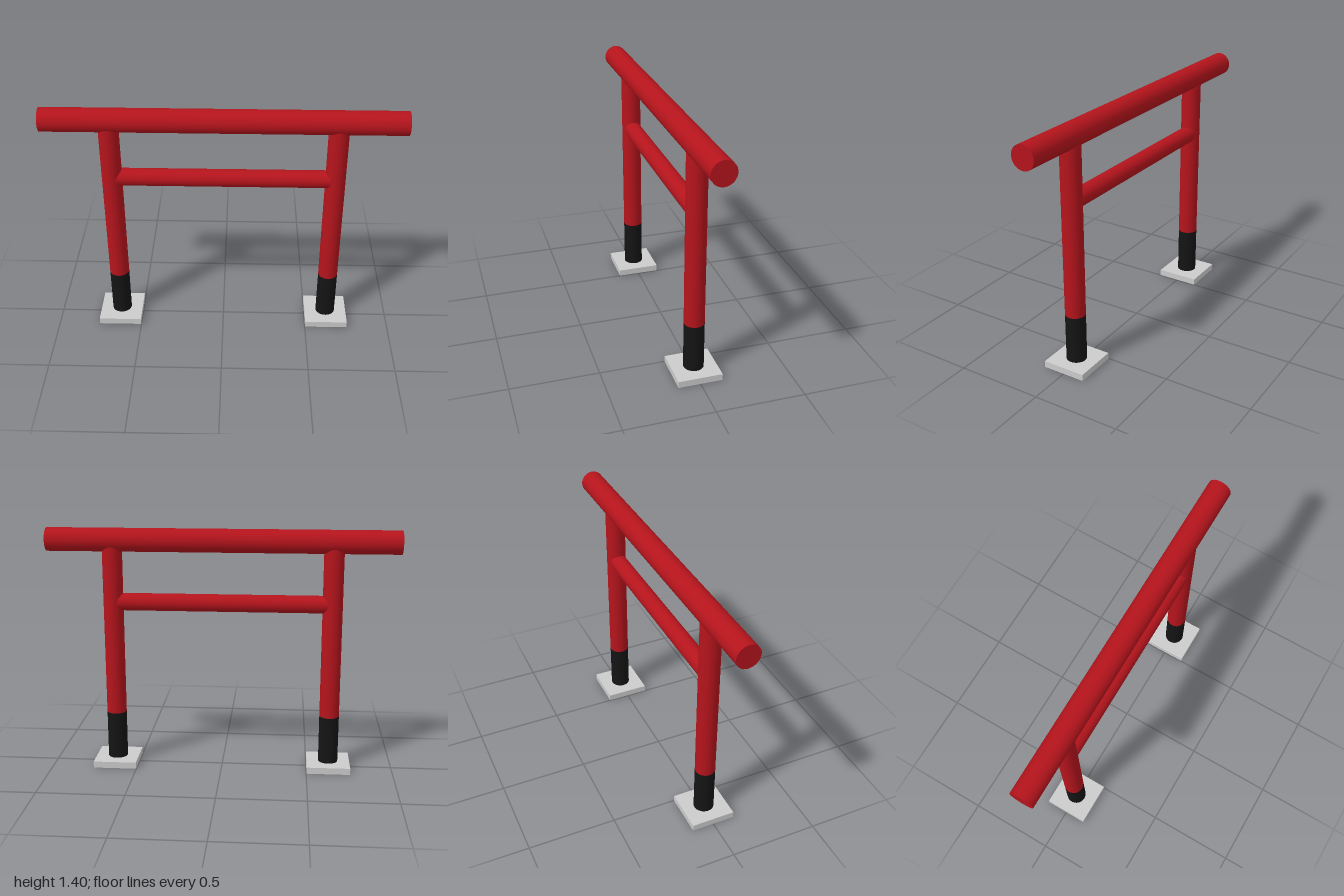
import * as THREE from 'three';

const red = new THREE.MeshStandardMaterial({ color: 0xb5141c });
const black = new THREE.MeshStandardMaterial({ color: 0x141414 });
const grey = new THREE.MeshStandardMaterial({ color: 0xcccccc });

function addMesh(parent, name, geometry, material, x, y) {
  const mesh = new THREE.Mesh(geometry, material);
  mesh.name = name;
  mesh.position.set(x, y, 0);
  parent.add(mesh);
  return mesh;
}

// Upright cylinder between two heights
function addPost(parent, name, radius, bottom, top, material) {
  const geometry = new THREE.CylinderGeometry(radius, radius, top - bottom, 32);
  addMesh(parent, name, geometry, material, 0, (bottom + top) / 2);
}

// Horizontal cylinder along x
function addBeam(parent, name, radius, length, y) {
  const geometry = new THREE.CylinderGeometry(radius, radius, length, 32);
  geometry.rotateZ(Math.PI / 2);
  addMesh(parent, name, geometry, red, 0, y);
}

export function createModel() {
  const gate = new THREE.Group();
  gate.name = 'gate';

  // Columns with dark feet on square base slabs
  for (const [side, sign] of [['left', 1], ['right', -1]]) {
    const column = new THREE.Group();
    column.name = side + 'Column';
    column.position.x = sign * 0.628;
    addMesh(column, side + 'Base', new THREE.BoxGeometry(0.252, 0.038, 0.252), grey, 0, 0.019);
    addPost(column, side + 'Foot', 0.057, 0.038, 0.317, black);
    addPost(column, side + 'Post', 0.057, 0.317, 1.33, red);
    gate.add(column);
  }

  // Long top beam and the thinner tie beam between the columns
  addBeam(gate, 'topBeam', 0.067, 2, 1.338);
  addBeam(gate, 'tieBeam', 0.05, 1.256, 0.981);

  return gate;
}
